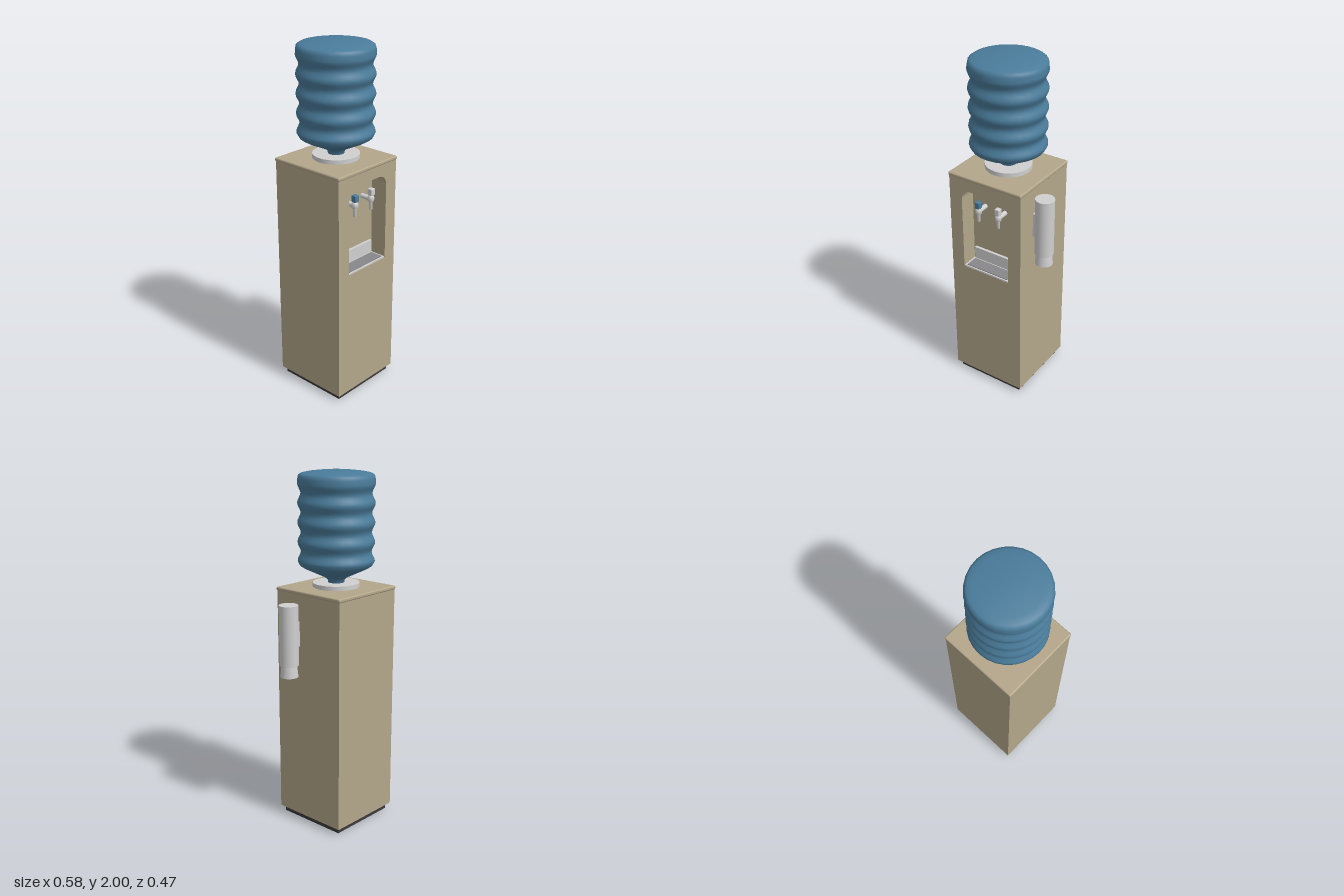
import * as THREE from 'three';
import { RoundedBoxGeometry } from 'three/addons/geometries/RoundedBoxGeometry.js';

const mat = (name, color, extra = {}) => {
  const m = new THREE.MeshStandardMaterial({ color, ...extra });
  m.name = name;
  return m;
};

export function createModel() {
  const group = new THREE.Group();
  const taupe = mat('taupe', 0xb3a68a);
  const grey = mat('lightGrey', 0xd0d0d0);
  const darkGrey = mat('grilleGrey', 0x88888a);
  const blue = mat('bottleBlue', 0x4a7c9b);
  const black = mat('baseBlack', 0x3c3a3c);
  const CX = -0.055; // cabinet centre line

  const add = (name, geometry, material, x, y, z, parent = group) => {
    const mesh = new THREE.Mesh(geometry, material);
    mesh.name = name;
    mesh.position.set(x, y, z);
    parent.add(mesh);
    return mesh;
  };
  const box = (w, h, d) => new THREE.BoxGeometry(w, h, d);
  const cyl = (top, bottom, h, n = 20) => new THREE.CylinderGeometry(top, bottom, h, n);
  const lathe = (points, n) => new THREE.LatheGeometry(points.map(p => new THREE.Vector2(p[0], p[1])), n);

  // Plinth and rear of the cabinet
  add('base', box(0.42, 0.036, 0.42), black, CX, 0.018, 0);
  add('cabinetBack', box(0.46, 1.315, 0.36), taupe, CX, 0.6925, -0.05);

  // Cabinet front with the round-shouldered dispensing recess cut through it
  const front = new THREE.Shape();
  front.moveTo(-0.285, 0.035);
  front.lineTo(0.175, 0.035);
  front.lineTo(0.175, 1.35);
  front.lineTo(-0.285, 1.35);
  front.closePath();
  const L = -0.205, R = 0.095, B = 0.78, T = 1.28, r = 0.06;
  const recess = new THREE.Path();
  recess.moveTo(L, B);
  recess.lineTo(L, T - r);
  recess.absarc(L + r, T - r, r, Math.PI, Math.PI / 2, true);
  recess.lineTo(R - r, T);
  recess.absarc(R - r, T - r, r, Math.PI / 2, 0, true);
  recess.lineTo(R, B);
  recess.closePath();
  front.holes.push(recess);
  add('cabinetFront', new THREE.ExtrudeGeometry(front, { depth: 0.1, bevelEnabled: false, curveSegments: 6 }),
    taupe, 0, 0, 0.13);

  // Lid and bottle collar
  add('lid', new RoundedBoxGeometry(0.47, 0.022, 0.47, 3, 0.008), taupe, CX, 1.355, 0);
  add('bottleCollar', cyl(0.13, 0.13, 0.025, 32), grey, CX, 1.3775, 0);

  // Ribbed bottle: neck, shoulder, five bulges and a domed top
  const profile = [[0.045, 1.385], [0.047, 1.405], [0.065, 1.42], [0.12, 1.446], [0.175, 1.472], [0.2, 1.487]];
  const first = 1.51, pitch = 0.105, steps = 8;
  for (let i = 0; i <= 4 * steps; i++) {
    const wave = Math.cos(i / steps * Math.PI * 2);
    profile.push([0.203 + 0.009 * wave, first + i / steps * pitch]);
  }
  profile.push([0.21, 1.955], [0.206, 1.972], [0.193, 1.981], [0.16, 1.988], [0.1, 1.995], [0.05, 1.999], [0, 2]);
  add('bottle', lathe(profile, 28), blue, CX, 0, 0);

  // Splash plate, drip tray and grille in the recess
  add('splashPlate', box(0.27, 0.072, 0.016), grey, CX, 0.832, 0.138);
  add('dripTray', box(0.296, 0.008, 0.098), grey, CX, 0.784, 0.18);
  add('dripGrille', box(0.27, 0.008, 0.074), darkGrey, CX, 0.788, 0.183);

  // Cold and hot taps
  const makeTap = (name, x, handleMaterial) => {
    const tap = new THREE.Group();
    tap.name = name;
    tap.position.set(x, 0, 0.195);
    group.add(tap);
    add('tapPipe', cyl(0.014, 0.014, 0.07, 16), grey, 0, 1.155, -0.033, tap).rotation.x = Math.PI / 2;
    add('tapBody', lathe([[0, 1.092], [0.009, 1.092], [0.01, 1.135], [0.018, 1.143], [0.019, 1.162],
      [0.014, 1.172], [0.008, 1.178], [0, 1.178]], 16), grey, 0, 0, 0, tap);
    add('tapHandle', new RoundedBoxGeometry(0.03, 0.04, 0.03, 2, 0.005), handleMaterial, 0, 1.195, 0.002, tap);
  };
  makeTap('coldTap', -0.12, blue);
  makeTap('hotTap', 0.01, grey);

  // Cup dispenser hung on the side
  const cup = new THREE.Group();
  cup.name = 'cupDispenser';
  cup.position.set(0.234, 0, 0.085);
  group.add(cup);
  add('cupTube', cyl(0.053, 0.053, 0.34, 24), grey, 0, 1.125, 0, cup);
  add('cupStack', cyl(0.043, 0.05, 0.065, 24), grey, 0, 0.9225, 0, cup);
  add('cupBracket', box(0.02, 0.14, 0.05), grey, -0.051, 1.125, 0, cup);

  return group;
}
